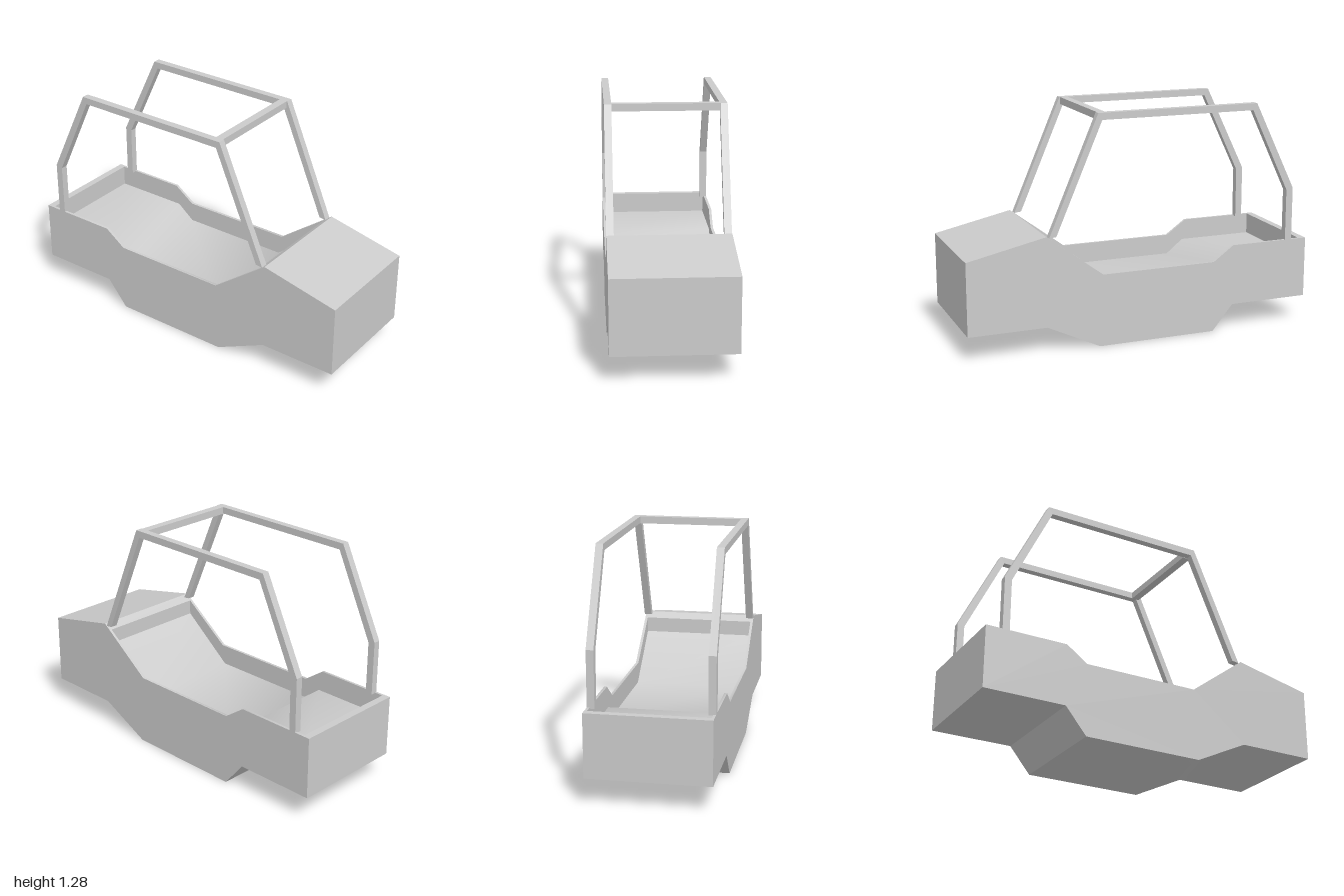
import * as THREE from 'three';
import { toCreasedNormals } from 'three/addons/utils/BufferGeometryUtils.js';

const material = new THREE.MeshStandardMaterial({ color: 0xcccccc });
const HALF = 0.33;   // half width of the body
const WALL = 0.015;  // side wall thickness
const TUBE = 0.04;   // frame bar thickness

// Extrudes a side profile of [z, y] points across x, from x0 to x1.
function profilePart(name, points, x0, x1, crease) {
  const shape = new THREE.Shape(points.map(([z, y]) => new THREE.Vector2(z, y)));
  const extruded = new THREE.ExtrudeGeometry(shape, { depth: x1 - x0, bevelEnabled: false });
  extruded.rotateY(-Math.PI / 2).translate(x1, 0, 0);
  const mesh = new THREE.Mesh(toCreasedNormals(extruded, crease), material);
  mesh.name = name;
  return mesh;
}

export function createModel() {
  const model = new THREE.Group();
  model.name = 'openBuggy';

  // Underside and nose, shared by the hull and its side walls
  const lower = [[-1, 0.145], [-0.54, 0.145], [-0.42, 0], [0.26, 0], [0.56, 0.145],
    [1, 0.145], [1, 0.55], [0.56, 0.645]];

  // Hull with hood, dash, sunken floor, rear bed and tail wall
  const hull = [...lower, [0.52, 0.615], [0.52, 0.53], [0.22, 0.29], [-0.42, 0.29],
    [-0.52, 0.37], [-0.96, 0.37], [-0.96, 0.49], [-1, 0.49]];
  model.add(profilePart('hull', hull, -HALF + WALL, HALF - WALL, 0.8));

  // Side walls with the dipped entry
  const wall = [...lower, [0.24, 0.405], [-0.42, 0.405], [-0.54, 0.49], [-1, 0.49]];

  // Roll cage hoop: windscreen post, roof rail, sloping rear post and upright
  const hoop = [[0.545, 0.635], [0.265, 1.285], [-0.668, 1.285], [-0.908, 0.79], [-0.908, 0.485],
    [-0.868, 0.485], [-0.868, 0.78], [-0.645, 1.247], [0.243, 1.247], [0.505, 0.64]];

  for (const [side, sign] of [['left', 1], ['right', -1]]) {
    const span = (inner) => [sign * inner, sign * HALF].sort((a, b) => a - b);
    model.add(profilePart(side + 'SideWall', wall, ...span(HALF - WALL), 0.8));
    model.add(profilePart(side + 'CageHoop', hoop, ...span(HALF - TUBE), 0.3));
  }

  // Crossbar above the windscreen
  const bar = new THREE.Mesh(new THREE.BoxGeometry(2 * (HALF - TUBE), TUBE, 0.045), material);
  bar.name = 'windscreenCrossbar';
  bar.position.set(0, 1.285 - TUBE / 2, 0.238);
  model.add(bar);

  return model;
}
